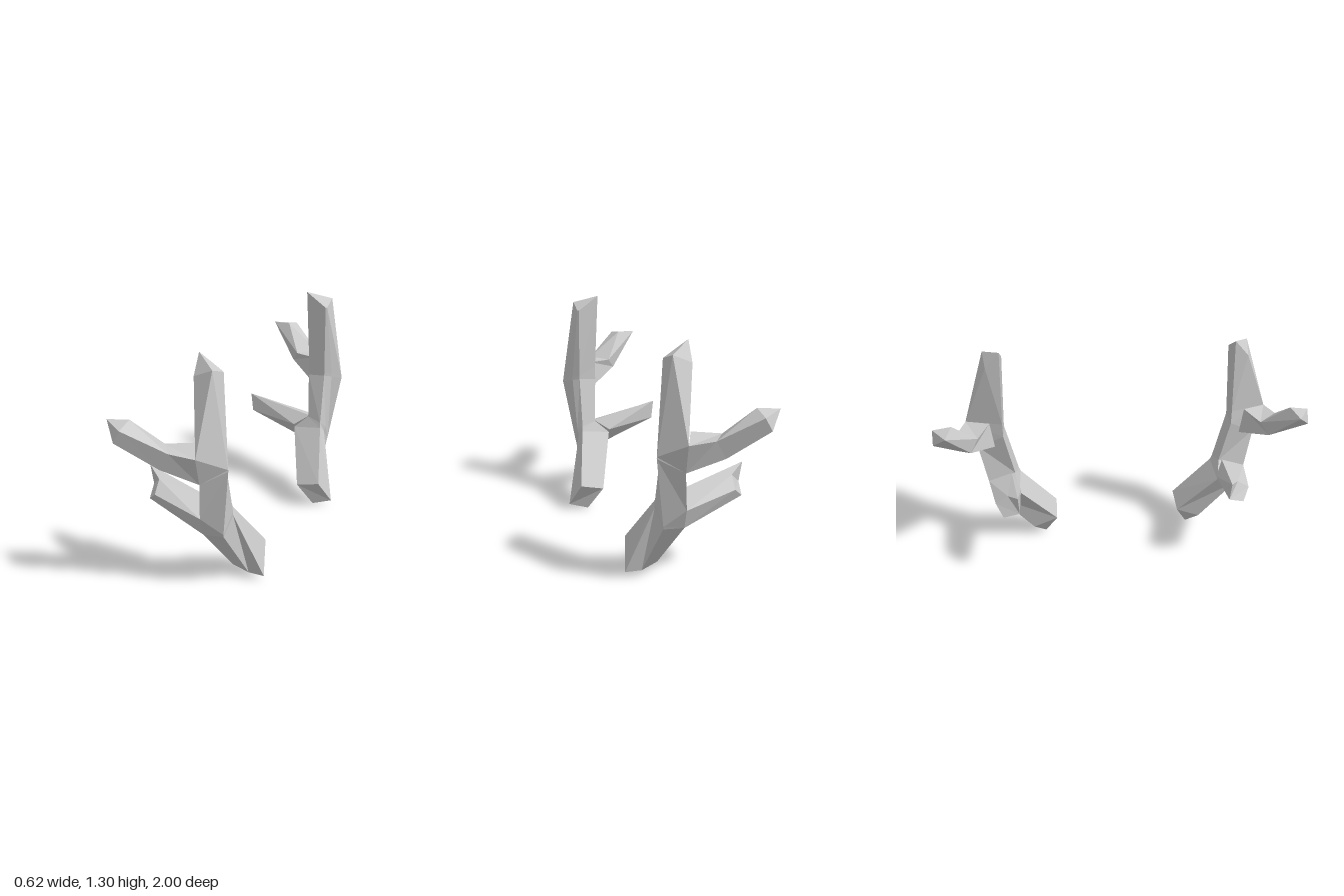
import * as THREE from 'three';

const material = new THREE.MeshStandardMaterial({ color: 0xcccccc, flatShading: true });

// Cross-sections of one antler, [x, y, z] per corner, from root to tip.
const parts = {
  mainBeam: [
    [[0.12, 0.15, 0.37], [0.14, 0.08, 0.51], [0.2, 0.005, 0.44], [0.31, 0.035, 0.475], [0.265, 0.19, 0.365]],
    [[0, 0.44, 0.58], [0.08, 0.355, 0.71], [0.185, 0.355, 0.685], [0.195, 0.44, 0.6], [0.18, 0.47, 0.57]],
    [[0.085, 0.52, 0.6], [0.09, 0.47, 0.755], [0.187, 0.37, 0.69], [0.2, 0.47, 0.61], [0.175, 0.5, 0.58]],
    [[0.06, 0.78, 0.65], [0.12, 0.69, 0.8], [0.245, 0.76, 0.735], [0.2, 0.78, 0.68], [0.165, 0.79, 0.645]],
    [[0.06, 0.86, 0.65], [0.135, 0.85, 0.855], [0.245, 0.77, 0.735], [0.2, 0.8, 0.68], [0.165, 0.81, 0.645]],
    [[0.04, 1.305, 0.635], [0.055, 1.21, 0.715], [0.165, 1.26, 0.73], [0.172, 1.225, 0.635], [0.165, 1.225, 0.628]],
  ],
  lowerTine: [
    [[-0.02, 0.37, 0.64], [0.08, 0.355, 0.71], [0.09, 0.47, 0.755], [0.085, 0.52, 0.62], [0, 0.46, 0.572]],
    [[-0.295, 0.5, 0.58], [-0.265, 0.46, 0.67], [-0.205, 0.515, 0.71], [-0.22, 0.57, 0.64], [-0.31, 0.61, 0.585]],
  ],
  upperTine: [
    [[0.06, 0.72, 0.7], [0.12, 0.69, 0.8], [0.135, 0.85, 0.855], [0.06, 0.87, 0.72]],
    [[-0.125, 0.8, 0.82], [-0.05, 0.77, 0.885], [0.005, 0.865, 0.885], [-0.08, 0.86, 0.78]],
    [[-0.31, 1.0, 0.925], [-0.225, 0.92, 1.0], [-0.185, 0.99, 1.0], [-0.195, 1.01, 0.9]],
  ],
};

// Joins the cross-sections with facets and closes both ends; side = -1 mirrors in z.
function loft(rings, side) {
  const pos = [];
  const tri = (a, b, c) => {
    for (const p of side > 0 ? [a, b, c] : [a, c, b]) pos.push(p[0], p[1], p[2] * side);
  };
  const n = rings[0].length;
  for (let r = 0; r < rings.length - 1; r++) {
    const a = rings[r], b = rings[r + 1];
    for (let i = 0; i < n; i++) {
      const j = (i + 1) % n;
      tri(a[i], a[j], b[j]);
      tri(a[i], b[j], b[i]);
    }
  }
  const root = rings[0], tip = rings[rings.length - 1];
  for (let i = 1; i < n - 1; i++) {
    tri(root[0], root[i + 1], root[i]);
    tri(tip[0], tip[i], tip[i + 1]);
  }
  const geometry = new THREE.BufferGeometry();
  geometry.setAttribute('position', new THREE.Float32BufferAttribute(pos, 3));
  geometry.computeVertexNormals();
  return geometry;
}

export function createModel() {
  const model = new THREE.Group();
  model.name = 'antlerPair';
  for (const side of [1, -1]) {
    const antler = new THREE.Group();
    antler.name = side > 0 ? 'frontAntler' : 'backAntler';
    for (const [name, rings] of Object.entries(parts)) {
      const mesh = new THREE.Mesh(loft(rings, side), material);
      mesh.name = name;
      antler.add(mesh);
    }
    model.add(antler);
  }
  return model;
}
